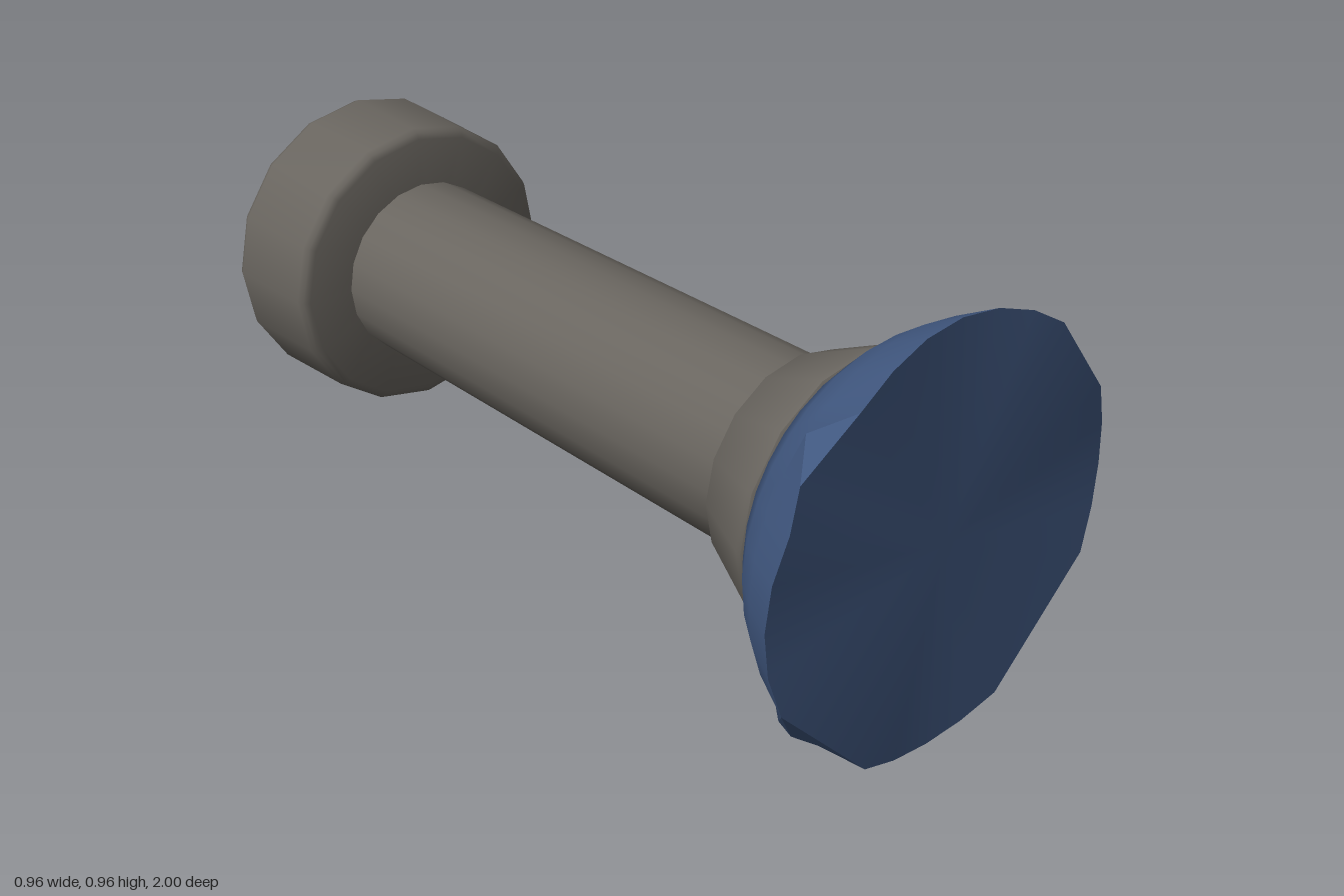
import * as THREE from 'three';
import { toCreasedNormals } from 'three/addons/utils/BufferGeometryUtils.js';

const AXIS_Y = 0.48; // height of the long axis

// Turned part along z, from a profile of [radius, z]
function turned(name, profile, sides, material) {
  const pts = profile.map(([r, z]) => new THREE.Vector2(r, z));
  const geo = new THREE.LatheGeometry(pts, sides).rotateX(Math.PI / 2);
  const mesh = new THREE.Mesh(toCreasedNormals(geo, 0.9), material);
  mesh.name = name;
  return mesh;
}

// Regular rim point, gently dished in z between the notches
function rimPoint(deg) {
  const a = THREE.MathUtils.degToRad(deg);
  const z = 0.99 - 0.01 * Math.cos(4 * a);
  return [0.478 * Math.cos(a), 0.478 * Math.sin(a), z];
}

// Counterclockwise outline of the head with four notches on the diagonals
function rimOutline() {
  const lowerNotch = [[-0.38, -0.265, 0.93], [-0.333, -0.33, 0.92], [-0.265, -0.38, 0.93]];
  return [
    ...[0, 12, 24].map(rimPoint),
    [0.38, 0.265, 0.92], [0.33, 0.332, 0.93],
    ...[54, 66, 78, 90, 102, 114, 126].map(rimPoint),
    [-0.333, 0.332, 0.92], [-0.41, 0.282, 0.985],
    ...[156, 168, 180, 192, 204].map(rimPoint),
    ...lowerNotch,
    ...[246, 258, 270, 282, 294].map(rimPoint),
    ...lowerNotch.map(([x, y, z]) => [-x, y, z]).reverse(),
    ...[336, 348].map(rimPoint),
  ];
}

function meshGeometry(points, index) {
  const geo = new THREE.BufferGeometry();
  geo.setAttribute('position', new THREE.Float32BufferAttribute(points.flat(), 3));
  geo.setIndex(index);
  geo.computeVertexNormals();
  return geo;
}

// Domed back of the head: the rim joined to shrinking rings
function domeGeometry(rim) {
  const rings = [[0.43, 0.89], [0.385, 0.825], [0.33, 0.77], [0.2, 0.75]];
  const n = rim.length;
  const points = [...rim];
  for (const [r, z] of rings) {
    for (const [x, y] of rim) {
      const a = Math.atan2(y, x);
      points.push([r * Math.cos(a), r * Math.sin(a), z]);
    }
  }
  const index = [];
  for (let j = 0; j < rings.length; j++) {
    for (let i = 0; i < n; i++) {
      const k = (i + 1) % n;
      const a = j * n + i, b = j * n + k;
      index.push(a, a + n, b + n, a, b + n, b);
    }
  }
  return meshGeometry(points, index);
}

// Front face: a fan over the full rim points, with a sloping facet in each notch
function faceGeometry(rim) {
  const n = rim.length;
  const points = [...rim, [0, 0, 0.985]];
  const index = [];
  const isLow = (i) => rim[i % n][2] < 0.95;
  let start = 0;
  for (let i = 1; i <= n; i++) {
    if (isLow(i)) continue;
    index.push(n, start, i % n);
    for (let k = start + 1; k < i; k++) index.push(start, k, (k + 1) % n);
    start = i;
  }
  return toCreasedNormals(meshGeometry(points, index), 0.3);
}

export function createModel() {
  const grey = new THREE.MeshStandardMaterial({ color: 0x69655f });
  grey.name = 'warm grey';
  const blue = new THREE.MeshStandardMaterial({ color: 0x40577f });
  blue.name = 'blue';

  const model = new THREE.Group();
  model.name = 'plunger';

  // Rear knob with bevelled edges
  model.add(turned('rearKnob', [
    [0, -1], [0.34, -1], [0.36, -0.99], [0.366, -0.975],
    [0.357, -0.74], [0.35, -0.725], [0.335, -0.718], [0.1, -0.718],
  ], 16, grey));

  // Shaft
  model.add(turned('shaft', [[0.218, -0.74], [0.218, 0.6]], 20, grey));

  // Flared collar
  model.add(turned('collar', [
    [0.1, 0.57], [0.235, 0.57], [0.25, 0.58],
    [0.325, 0.745], [0.328, 0.76], [0.315, 0.772], [0.1, 0.772],
  ], 16, grey));

  // Notched head
  const rim = rimOutline();
  const head = new THREE.Group();
  head.name = 'head';
  const dome = new THREE.Mesh(domeGeometry(rim), blue);
  dome.name = 'headDome';
  const face = new THREE.Mesh(faceGeometry(rim), blue);
  face.name = 'headFace';
  head.add(dome, face);
  model.add(head);

  for (const part of model.children) part.position.y = AXIS_Y;
  return model;
}
